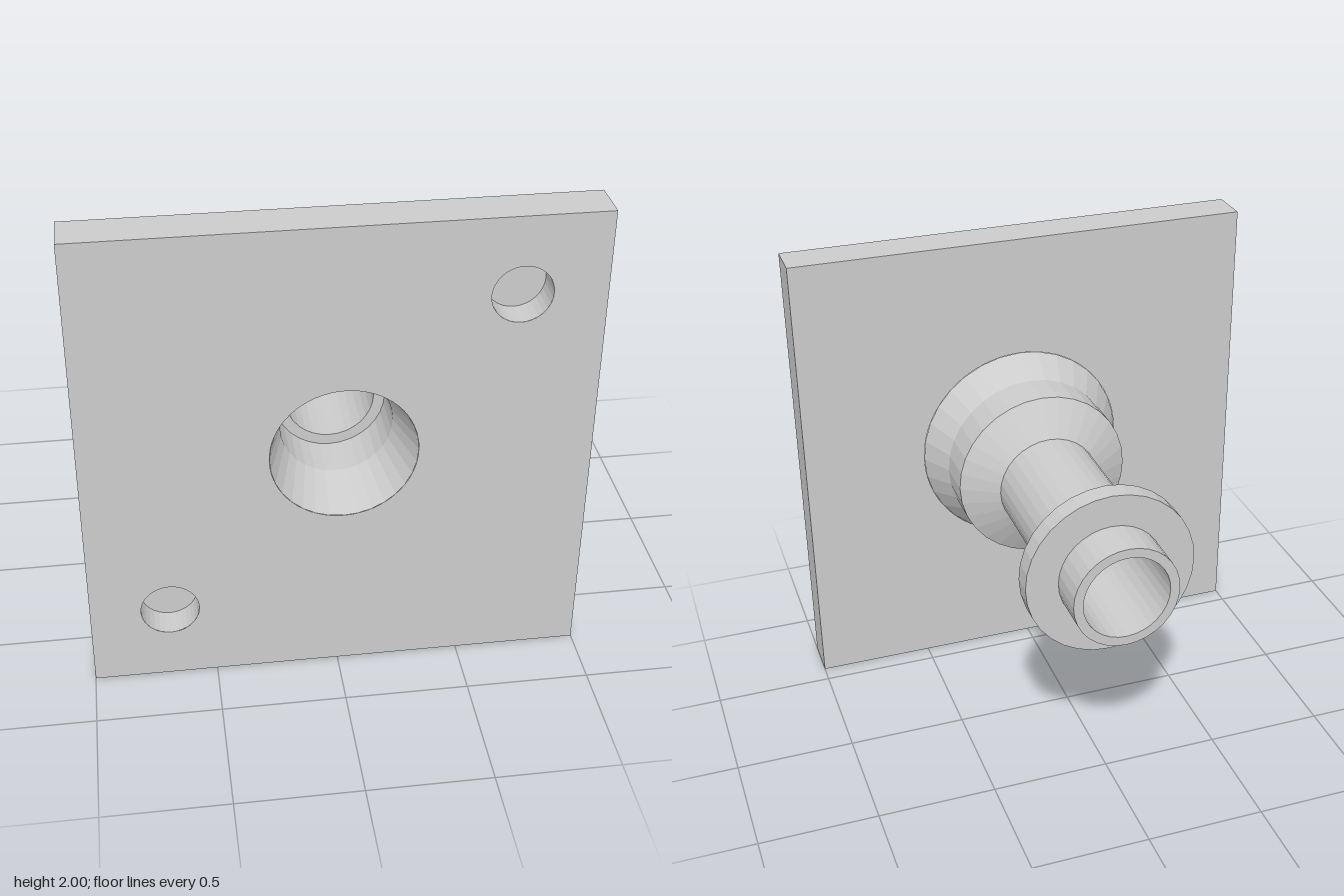
import * as THREE from 'three';

const SEG = 32;
const FRONT = 0.755, BACK = 0.58;      // plate faces along z
const AXIS = [0.02, 1.025];            // centre line of the tube
const POCKETS = [[0.675, 1.68], [-0.68, 0.33]];
const POCKET_R = 0.117, POCKET_DEPTH = 0.12;

export function createModel() {
  const group = new THREE.Group();
  const material = new THREE.MeshStandardMaterial({ color: 0xcccccc, flatShading: true });

  const add = (name, geometry, x = 0, y = 0, z = 0, parent = group) => {
    const mesh = new THREE.Mesh(geometry, material);
    mesh.name = name;
    mesh.position.set(x, y, z);
    parent.add(mesh);
    return mesh;
  };

  // Turned part along z from [radius, z] pairs
  const turned = (points) =>
    new THREE.LatheGeometry(points.map(([r, z]) => new THREE.Vector2(r, z)), SEG).rotateX(Math.PI / 2);

  // Square plate face with round openings [x, y, radius]
  const plateFace = (holes) => {
    const shape = new THREE.Shape([[-1, 0], [1, 0], [1, 2], [-1, 2]].map((p) => new THREE.Vector2(...p)));
    for (const [x, y, r] of holes) shape.holes.push(new THREE.Path().absarc(x, y, r, 0, Math.PI * 2, false));
    return new THREE.ShapeGeometry(shape, SEG);
  };

  // Mounting plate: front, back and rim
  const plate = new THREE.Group();
  plate.name = 'mountingPlate';
  group.add(plate);
  const pocketHoles = POCKETS.map(([x, y]) => [x, y, POCKET_R]);
  add('plateFront', plateFace([[...AXIS, 0.29], ...pocketHoles]), 0, 0, FRONT, plate);
  const back = add('plateBack', plateFace([[-AXIS[0], AXIS[1], 0.45]]), 0, 0, BACK, plate);
  back.rotation.y = Math.PI;
  const rim = new THREE.CylinderGeometry(Math.SQRT2, Math.SQRT2, FRONT - BACK, 4, 1, true);
  rim.rotateY(Math.PI / 4).rotateX(Math.PI / 2);
  add('plateRim', rim, 0, 1, (FRONT + BACK) / 2, plate);

  // Blind pockets in the front of the plate
  for (const [x, y] of POCKETS) {
    add('blindPocket', turned([[POCKET_R, 0], [POCKET_R, -POCKET_DEPTH], [0, -POCKET_DEPTH]]), x, y, FRONT);
  }

  // Hollow spout: tapered, stepped bore, then the outside from tip to plate
  add('flangedSpout', turned([
    [0.29, FRONT], [0.225, 0.54], [0.225, 0.35], [0.18, 0.35], [0.18, -0.755],
    [0.22, -0.755], [0.22, -0.578], [0.355, -0.578], [0.355, -0.492], [0.22, -0.403],
    [0.22, 0.178], [0.375, 0.268], [0.375, 0.445], [0.45, BACK],
  ]), ...AXIS);

  return group;
}
